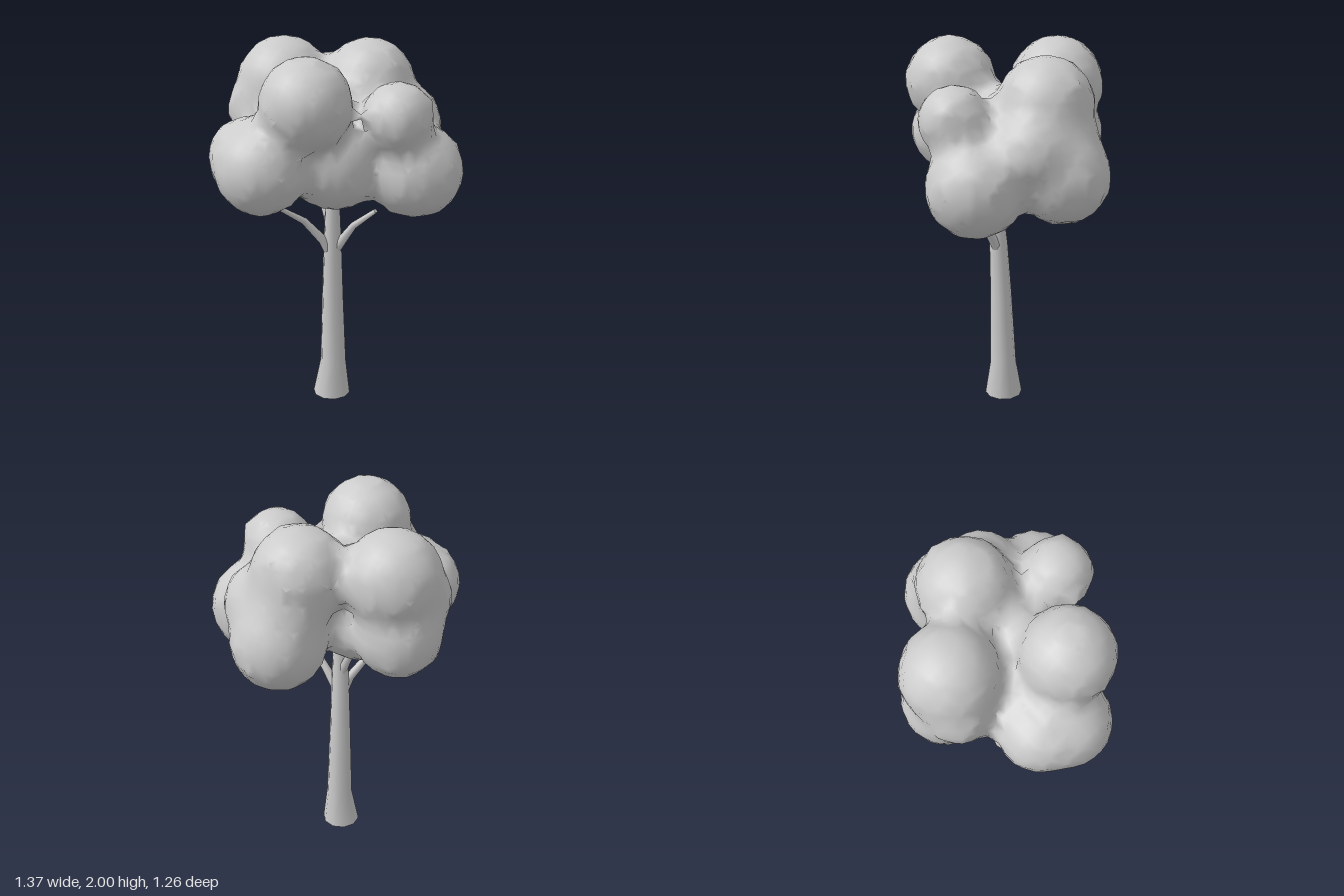
import * as THREE from 'three';

const grey = new THREE.MeshStandardMaterial({ color: 0xcccccc });

// Leaf clumps: x, y, z, radius
const clumps = [
  [-0.29, 1.765, 0.11, 0.238],  // top left
  [0.02, 1.735, -0.365, 0.25],  // top back
  [0.31, 1.74, -0.015, 0.243],  // top right
  [0.085, 1.68, 0.39, 0.182],   // upper front
  [0.235, 1.365, 0.385, 0.25],  // low front
  [0.45, 1.4, 0.0, 0.245],      // low right
  [0.4, 1.55, 0.165, 0.195],    // right filler, front
  [0.4, 1.57, -0.02, 0.2],      // right filler
  [-0.455, 1.435, -0.04, 0.235], // low left
  [-0.41, 1.46, -0.18, 0.205],  // left filler
  [0.02, 1.44, -0.41, 0.223],   // low back
  [-0.1, 1.6, -0.42, 0.175],    // back filler
  [-0.04, 1.42, 0.07, 0.27],    // core
  [0.0, 1.42, -0.12, 0.235],    // core back
  [0.04, 1.57, 0.03, 0.215],    // core top
  [0.19, 1.55, 0.2, 0.17],      // core front
  [-0.22, 1.47, -0.12, 0.2],    // core left
];

// Blended distance to all clumps with slight lumps; negative inside
function field(x, y, z) {
  const k = 0.022;
  let sum = 0;
  for (const [cx, cy, cz, r] of clumps) {
    sum += Math.exp((r - Math.hypot(x - cx, y - cy, z - cz)) / k);
  }
  const lumps = 0.012 * Math.sin(x * 37 + 1) * Math.sin(y * 35 + 2) * Math.sin(z * 39 + 3);
  return -k * Math.log(sum) + lumps;
}

// One coarse skin around the clumps: a corner in each grid cell the surface crosses,
// and a quad around each grid edge it crosses
function crownGeometry() {
  const cell = 0.055, origin = [-0.8, 1.0, -0.75], size = [30, 21, 28];
  const step = [1, size[0], size[0] * size[1]];
  const values = [], cellVertex = new Map(), verts = [], index = [];
  const eachPoint = (visit) => {
    for (let k = 0, id = 0; k < size[2]; k++) {
      for (let j = 0; j < size[1]; j++) {
        for (let i = 0; i < size[0]; i++) visit([i, j, k], id++);
      }
    }
  };
  eachPoint((g) => values.push(field(...g.map((n, a) => origin[a] + n * cell))));

  // Corners, at the mean of the crossings on the cell's twelve edges
  eachPoint((g, id) => {
    if (g.some((n, a) => n === size[a] - 1)) return;
    const mean = [0, 0, 0];
    let count = 0;
    for (let a = 0; a < 3; a++) {
      const b = (a + 1) % 3, c = (a + 2) % 3;
      for (let e = 0; e < 4; e++) {
        const db = e & 1, dc = e >> 1;
        const from = id + db * step[b] + dc * step[c];
        const v0 = values[from], v1 = values[from + step[a]];
        if ((v0 < 0) === (v1 < 0)) continue;
        mean[a] += v0 / (v0 - v1);
        mean[b] += db;
        mean[c] += dc;
        count++;
      }
    }
    if (!count) return;
    cellVertex.set(id, verts.length / 3);
    verts.push(...mean.map((m, a) => origin[a] + (g[a] + m / count) * cell));
  });

  // Quads, turned to face outward
  eachPoint((g, id) => {
    for (let a = 0; a < 3; a++) {
      if (g[a] === size[a] - 1) continue;
      const inside = values[id] < 0;
      if (inside === (values[id + step[a]] < 0)) continue;
      const b = step[(a + 1) % 3], c = step[(a + 2) % 3];
      const q = [id, id - b, id - b - c, id - c].map((n) => cellVertex.get(n));
      if (!inside) q.reverse();
      index.push(q[0], q[1], q[2], q[0], q[2], q[3]);
    }
  });
  return smooth(verts, index);
}

function smooth(verts, index) {
  const g = new THREE.BufferGeometry();
  g.setAttribute('position', new THREE.Float32BufferAttribute(verts, 3));
  g.setIndex(index);
  g.computeVertexNormals();
  return g;
}

// Tapered limb through rings [x, y, z, radius]; rings lie level or across the path
function limb(rings, sides, level) {
  const verts = [], index = [];
  const points = rings.map(([x, y, z]) => new THREE.Vector3(x, y, z));
  const up = new THREE.Vector3(0, 1, 0), q = new THREE.Quaternion(), v = new THREE.Vector3();
  rings.forEach((ring, i) => {
    const along = points[Math.min(i + 1, points.length - 1)].clone().sub(points[Math.max(i - 1, 0)]).normalize();
    q.setFromUnitVectors(up, level ? up : along);
    for (let s = 0; s < sides; s++) {
      const a = (s / sides) * Math.PI * 2;
      v.set(Math.sin(a) * ring[3], 0, Math.cos(a) * ring[3]).applyQuaternion(q).add(points[i]);
      verts.push(v.x, v.y, v.z);
      if (i > 0) {
        const n = (s + 1) % sides, lo = (i - 1) * sides, hi = i * sides;
        index.push(lo + s, lo + n, hi + n, lo + s, hi + n, hi + s);
      }
    }
  });
  // End caps with their own corners, so the rims stay sharp
  for (const [i, flip] of [[0, true], [rings.length - 1, false]]) {
    const start = verts.length / 3;
    verts.push(...verts.slice(i * sides * 3, (i + 1) * sides * 3));
    for (let s = 1; s < sides - 1; s++) {
      index.push(start, start + (flip ? s + 1 : s), start + (flip ? s : s + 1));
    }
  }
  return smooth(verts, index);
}

export function createModel() {
  const tree = new THREE.Group();
  tree.name = 'tree';
  const add = (parent, name, geometry) => {
    const mesh = new THREE.Mesh(geometry, grey);
    mesh.name = name;
    parent.add(mesh);
  };

  // Trunk with a flared foot and a slight lean
  add(tree, 'trunk', limb([
    [0.01, 0, 0, 0.102],
    [0.015, 0.2, 0.007, 0.071],
    [0.004, 0.6, 0.013, 0.058],
    [-0.006, 0.9, 0.022, 0.049],
    [-0.02, 1.15, 0.035, 0.039],
    [-0.02, 1.4, 0.04, 0.028],
  ], 10, true));

  // Three bent branches
  const branches = new THREE.Group();
  branches.name = 'branches';
  tree.add(branches);
  add(branches, 'leftBranch', limb([
    [-0.02, 0.87, 0.015, 0.03], [-0.06, 0.95, 0, 0.025], [-0.15, 1.07, -0.05, 0.019], [-0.29, 1.17, -0.1, 0.012],
  ], 7));
  add(branches, 'frontBranch', limb([
    [0, 0.88, 0.035, 0.03], [0.01, 0.95, 0.08, 0.026], [0.025, 1.05, 0.15, 0.019], [0.05, 1.16, 0.28, 0.012],
  ], 7));
  add(branches, 'backBranch', limb([
    [-0.01, 0.98, 0.02, 0.026], [-0.005, 1.07, -0.02, 0.023], [0, 1.17, -0.07, 0.019], [0.01, 1.3, -0.13, 0.012],
  ], 7));

  // Crown of merged leaf clumps
  add(tree, 'crown', crownGeometry());

  return tree;
}
